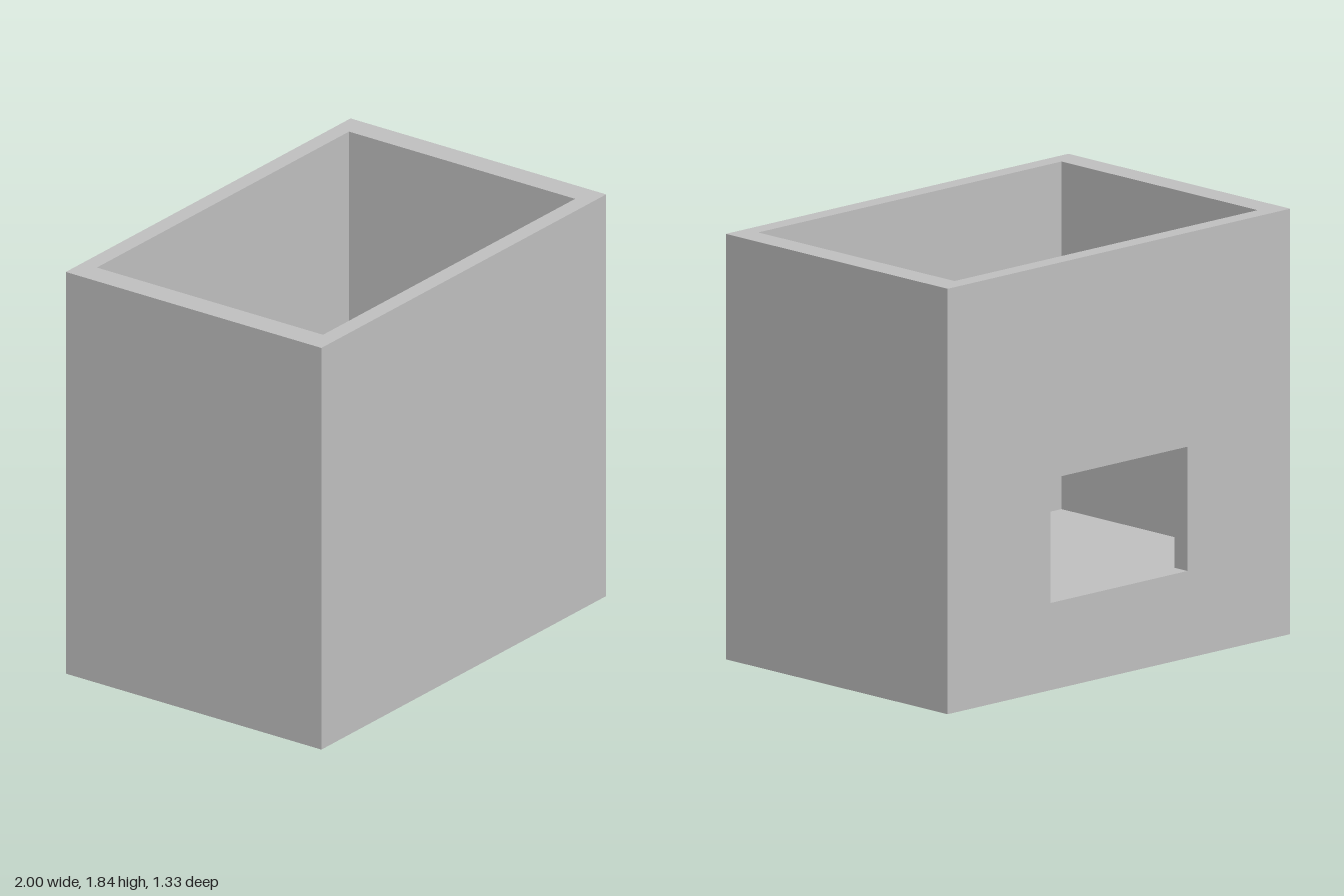
import * as THREE from 'three';

// Overall size, wall thicknesses and floor height
const W = 2, H = 1.835, D = 1.333;
const SIDE = 0.115, WALL = 0.077, FLOOR = 0.336;
// Window opening in the back wall
const WIN = { halfWidth: 0.4, bottom: 0.376, top: 0.912 };

export function createModel() {
  const group = new THREE.Group();
  group.name = 'openBox';
  const grey = new THREE.MeshStandardMaterial({ color: 0xbfbfbf });
  grey.name = 'light grey';

  const add = (name, geometry, x, y, z) => {
    const mesh = new THREE.Mesh(geometry, grey);
    mesh.name = name;
    mesh.position.set(x, y, z);
    group.add(mesh);
  };

  // Thick floor slab between the walls
  add('floor', new THREE.BoxGeometry(W - 2 * SIDE, FLOOR, D - 2 * WALL), 0, FLOOR / 2, 0);

  // Side walls, fitted between front and back
  for (const [name, s] of [['leftWall', 1], ['rightWall', -1]]) {
    add(name, new THREE.BoxGeometry(SIDE, H, D - 2 * WALL), s * (W - SIDE) / 2, H / 2, 0);
  }

  // Solid front wall
  add('frontWall', new THREE.BoxGeometry(W, H, WALL), 0, H / 2, (D - WALL) / 2);

  // Back wall with the window cut through
  const rect = (path, x, y0, y1) =>
    path.moveTo(-x, y0).lineTo(x, y0).lineTo(x, y1).lineTo(-x, y1).closePath();
  const back = rect(new THREE.Shape(), W / 2, 0, H);
  back.holes.push(rect(new THREE.Path(), WIN.halfWidth, WIN.bottom, WIN.top));
  add('backWall', new THREE.ExtrudeGeometry(back, { depth: WALL, bevelEnabled: false }), 0, 0, -D / 2);

  return group;
}
